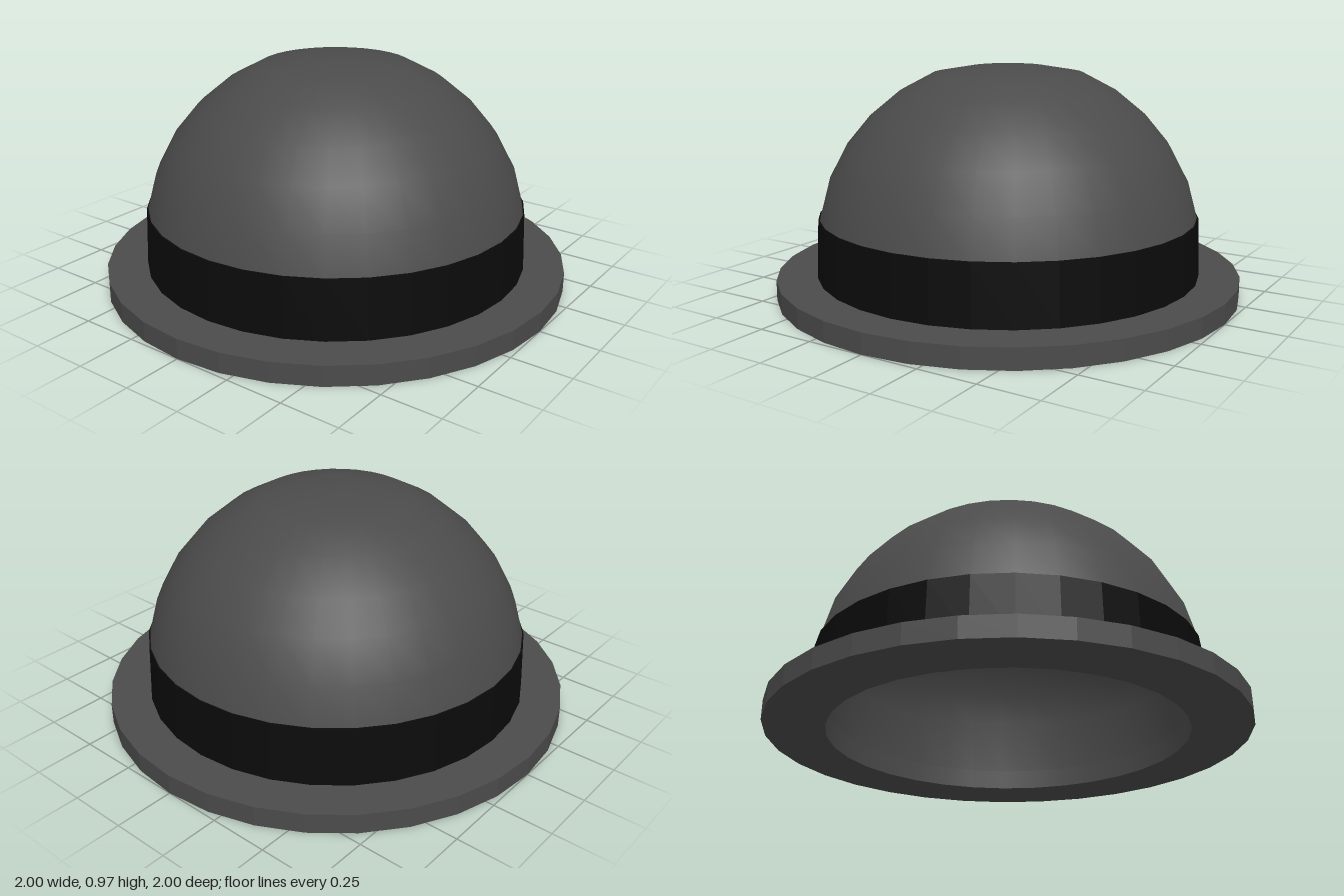
import * as THREE from 'three';

const SEGMENTS = 32;

function lathe(name, profile, material, faceted = false) {
  const points = profile.map(([r, y]) => new THREE.Vector2(r, y));
  let geometry = new THREE.LatheGeometry(points, SEGMENTS);
  if (faceted) {
    geometry = geometry.toNonIndexed();
    geometry.computeVertexNormals();
  }
  const mesh = new THREE.Mesh(geometry, material);
  mesh.name = name;
  return mesh;
}

export function createModel() {
  const felt = new THREE.MeshStandardMaterial({ color: 0x4b4b4b });
  felt.name = 'grey felt';
  const ribbon = new THREE.MeshStandardMaterial({ color: 0x0b0b0b });
  ribbon.name = 'black ribbon';

  const hat = new THREE.Group();
  hat.name = 'roundHat';

  // Flat brim with crisp facets, open in the middle
  hat.add(lathe('brim', [[0.75, 0], [1, 0], [1, 0.085], [0.75, 0.085]], felt, true));
  hat.add(lathe('brimInnerWall', [[0.75, 0.085], [0.75, 0]], felt));

  // Ribbon around the foot of the crown
  hat.add(lathe('hatBand', [[0.828, 0.085], [0.818, 0.335], [0.806, 0.335]], ribbon, true));

  // Smooth rounded crown
  const crown = [
    [0.812, 0.335], [0.77, 0.49], [0.69, 0.64], [0.59, 0.76],
    [0.462, 0.865], [0.32, 0.94], [0.16, 0.967], [0, 0.974],
  ];
  hat.add(lathe('crown', crown, felt));

  // Hollow inside of the crown, running from the top down to the brim
  const lining = [
    [0, 0.9], [0.15, 0.893], [0.29, 0.867], [0.42, 0.797], [0.535, 0.705],
    [0.63, 0.59], [0.7, 0.455], [0.74, 0.315], [0.75, 0.085],
  ];
  hat.add(lathe('crownInside', lining, felt));

  return hat;
}
